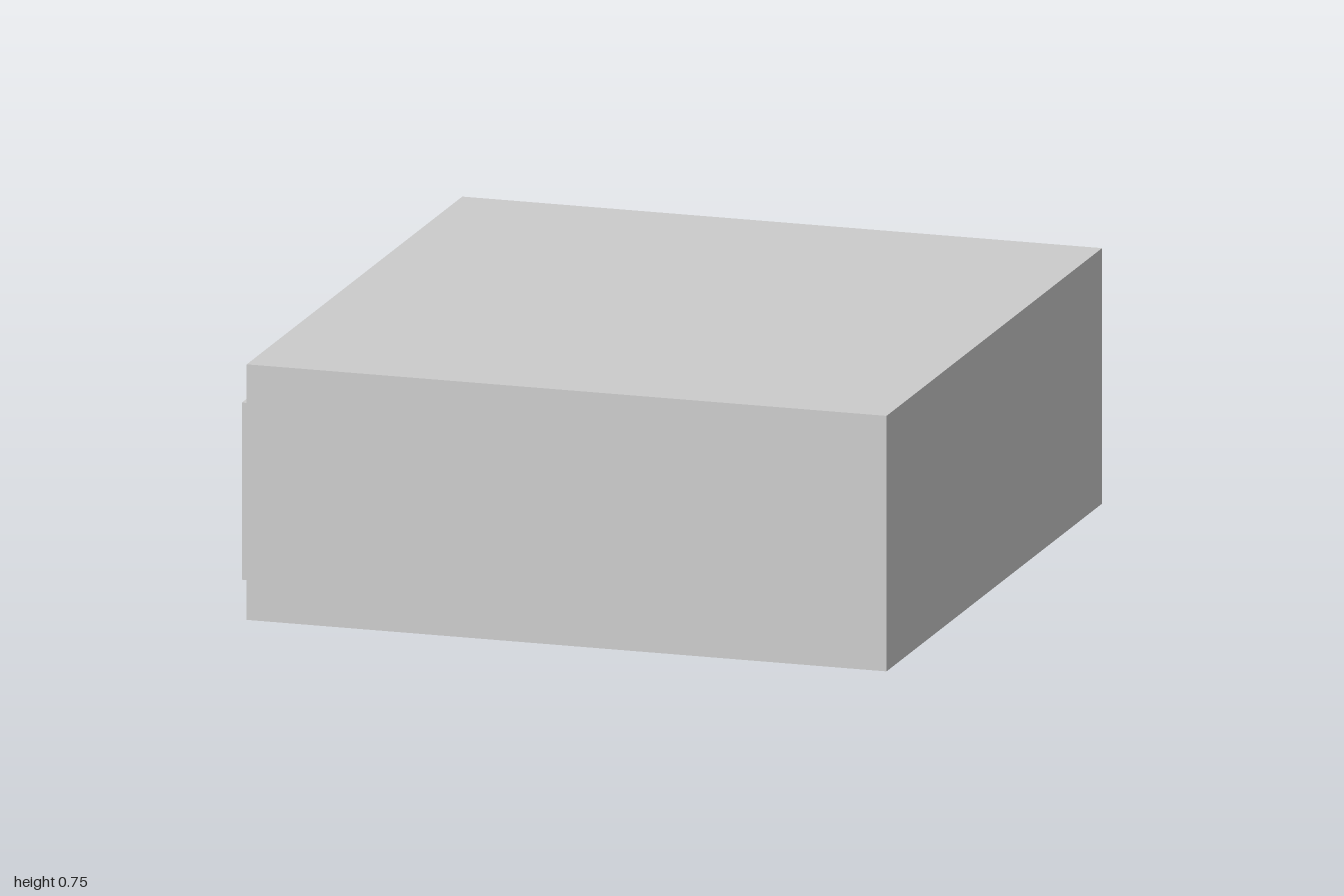
import * as THREE from 'three';

const FACE_X = -0.925; // side face that carries the controls

export function createModel() {
  const group = new THREE.Group();
  const material = new THREE.MeshStandardMaterial({ color: 0xcccccc });

  const add = (name, geometry, x, y, z) => {
    const mesh = new THREE.Mesh(geometry, material);
    mesh.name = name;
    mesh.position.set(x, y, z);
    group.add(mesh);
  };

  // Block standing proud of the control face
  const disc = (name, radius, depth, sides, y, z) => {
    const geometry = new THREE.CylinderGeometry(radius, radius, depth, sides);
    geometry.rotateZ(Math.PI / 2);
    add(name, geometry, FACE_X - depth / 2, y, z);
  };

  // Housing
  add('housing', new THREE.BoxGeometry(1.91, 0.75, 2), FACE_X + 0.955, 0.375, 0);

  // Large central dial
  disc('dial', 0.3175, 0.05, 20, 0.367, 0);

  // Raised rectangular panel near the front
  add('panel', new THREE.BoxGeometry(0.04, 0.52, 0.32), FACE_X - 0.02, 0.355, 0.76);

  // Knobs as [y, z]: three beside the panel, four towards the back
  const knobs = [
    [0.557, 0.448], [0.367, 0.433], [0.17, 0.383],
    [0.523, -0.632], [0.365, -0.493], [0.31, -0.706], [0.173, -0.535],
  ];
  knobs.forEach(([y, z], i) => disc(`knob${i + 1}`, 0.0825, 0.065, 24, y, z));

  return group;
}
